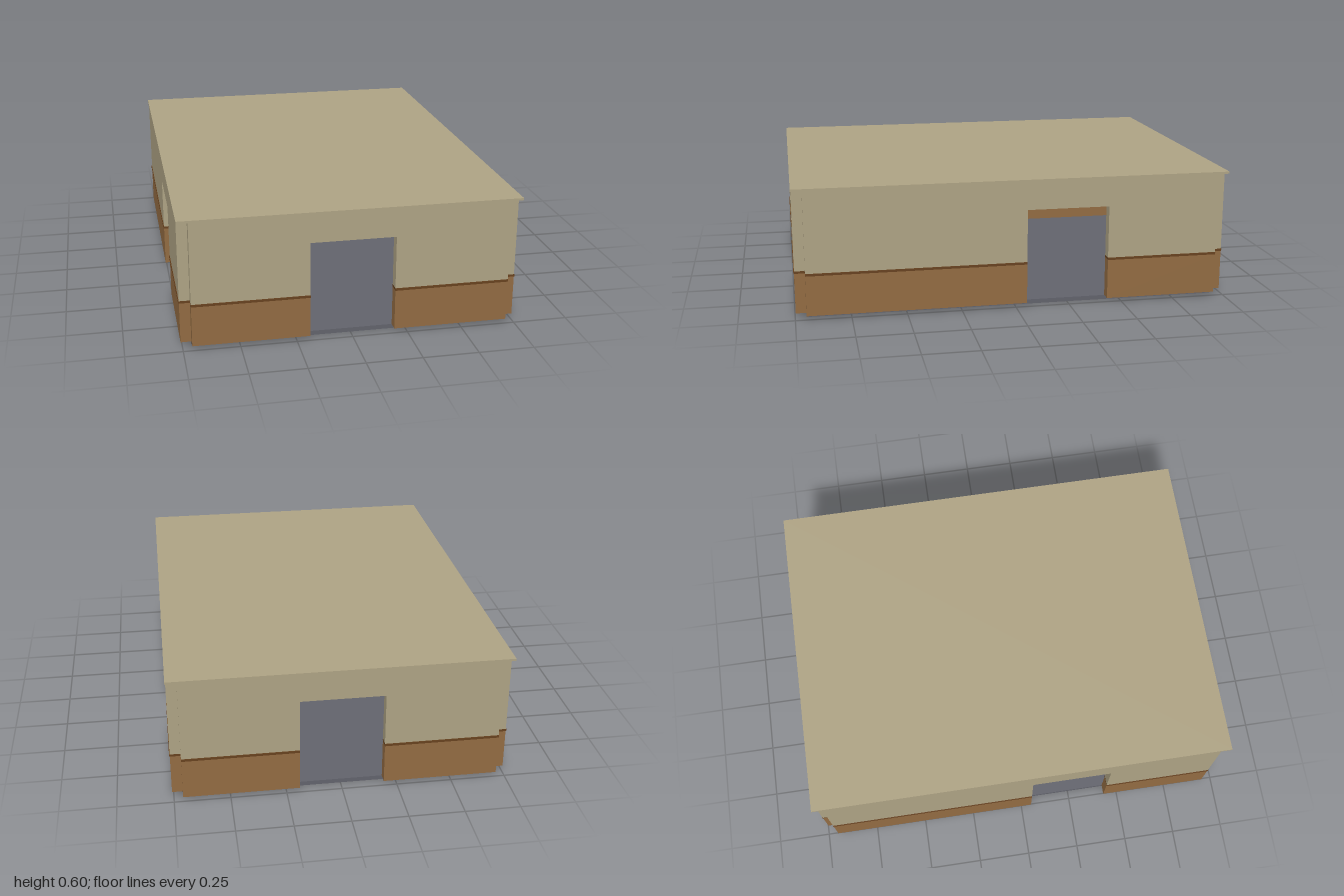
import * as THREE from 'three';

const material = (name, color) => {
  const m = new THREE.MeshStandardMaterial({ color });
  m.name = name;
  return m;
};

// Box given by its lower and upper corners
function block(name, mat, [x0, y0, z0], [x1, y1, z1]) {
  const geometry = new THREE.BoxGeometry(x1 - x0, y1 - y0, z1 - z0);
  geometry.translate((x0 + x1) / 2, (y0 + y1) / 2, (z0 + z1) / 2);
  const mesh = new THREE.Mesh(geometry, mat);
  mesh.name = name;
  return mesh;
}

export function createModel() {
  const plaster = material('tan plaster', 0xaea384);
  const wood = material('brown wainscot', 0x926b42);
  const darkWood = material('dark brown rail', 0x68421f);
  const concrete = material('grey floor', 0x62636c);

  const HX = 0.71, HZ = 0.95; // half size of the interior
  const T = 0.047; // wall thickness
  const BASE = 0.02, RAIL = 0.205, RAIL_TOP = 0.216, HEAD = 0.46, EAVES = 0.59;

  // A wall runs along local x with its outer face toward local +z
  function wall(name, half, doorFrom, doorTo) {
    const group = new THREE.Group();
    group.name = name;
    for (const [a, b] of [[-half, doorFrom], [doorTo, half]]) {
      group.add(
        block('wainscot', wood, [a, BASE, 0], [b, RAIL, T]),
        block('chairRail', darkWood, [a, RAIL, -0.003], [b, RAIL_TOP, T + 0.003]),
        block('upperWall', plaster, [a, RAIL_TOP, 0], [b, HEAD, T])
      );
    }
    group.add(block('lintel', plaster, [-half, HEAD, 0], [half, EAVES, T]));
    return group;
  }

  const model = new THREE.Group();
  model.name = 'building';

  // Floor slab and flat roof
  model.add(
    block('floor', concrete, [-HX, 0, -HZ], [HX, BASE, HZ]),
    block('roof', plaster, [-0.76, EAVES, -1], [0.76, 0.6, 1])
  );

  // Opposite walls match under a half turn, which leaves open notches at the corners
  for (const [name, turn] of [['front', 0], ['back', Math.PI]]) {
    const endWall = wall(name + 'Wall', HX, -0.19, 0.19);
    endWall.rotation.y = turn;
    endWall.position.z = HZ * Math.cos(turn);
    model.add(endWall);
  }
  for (const [name, side] of [['left', 1], ['right', -1]]) {
    // Right view side is +x, where the door lies toward the back
    const sideWall = wall(name + 'Wall', HZ, 0.05, 0.43);
    sideWall.rotation.y = side * Math.PI / 2;
    sideWall.position.x = side * HX;
    model.add(sideWall);
  }

  // Ceiling beams across the room
  for (const z of [-0.8, -0.4, 0, 0.4, 0.8]) {
    model.add(block('ceilingBeam', wood, [-HX, 0.56, z - 0.02], [HX, EAVES, z + 0.02]));
  }
  return model;
}
